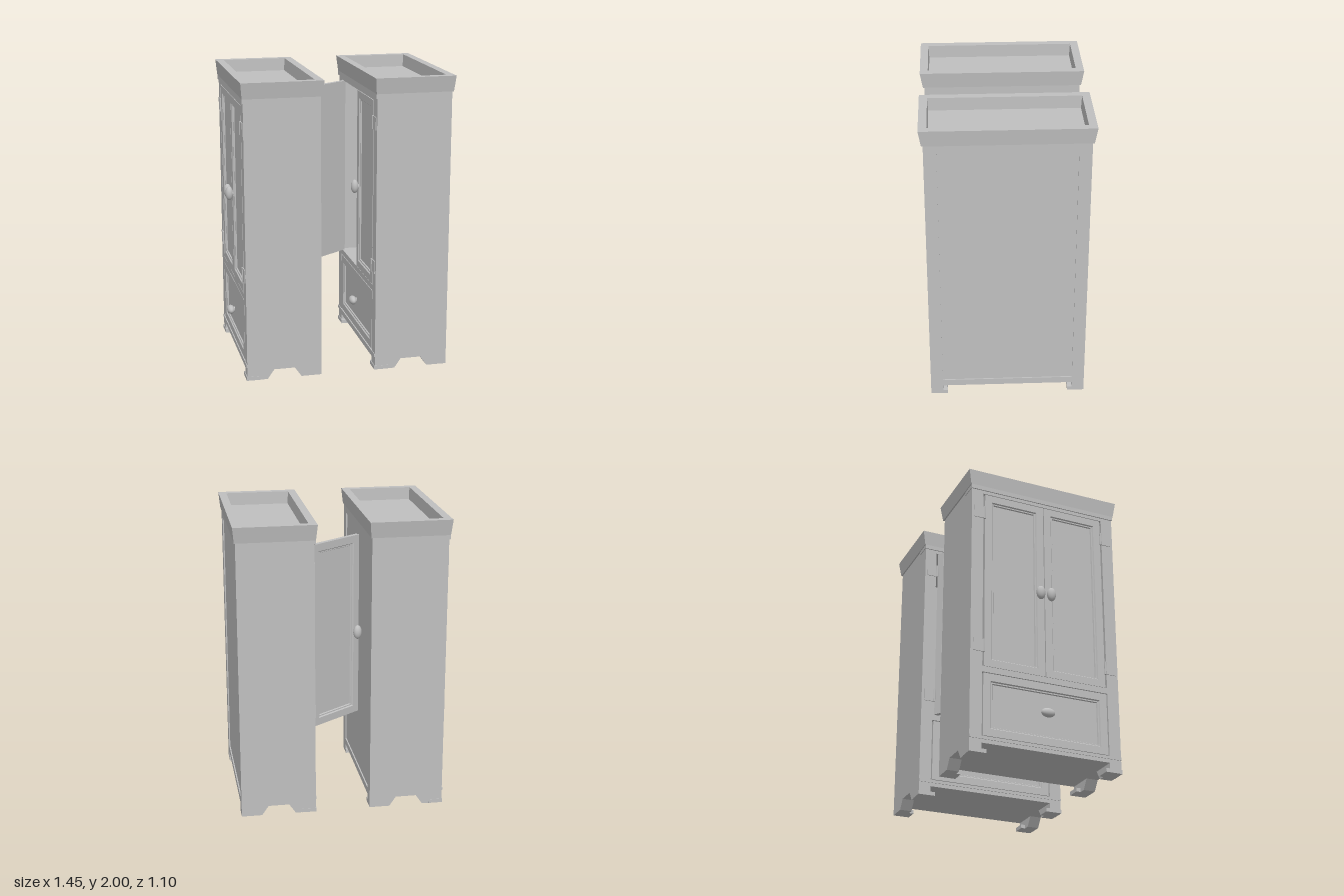
import * as THREE from 'three';

const FRONT = -0.2525, BACK = 0.2525, HALF = 0.5225;

const material = new THREE.MeshStandardMaterial({ color: 0xbfbfbf });
material.name = 'plain grey';

function add(parent, name, geometry, x = 0, y = 0, z = 0) {
  const mesh = new THREE.Mesh(geometry, material);
  mesh.name = name;
  mesh.position.set(x, y, z);
  parent.add(mesh);
  return mesh;
}

// Box given by its limits on each axis
function slab(parent, name, [x0, x1], [y0, y1], [z0, z1]) {
  return add(parent, name, new THREE.BoxGeometry(x1 - x0, y1 - y0, z1 - z0),
    (x0 + x1) / 2, (y0 + y1) / 2, (z0 + z1) / 2);
}

// Flat-faced loft through rectangles [half x, half z, y], capped at both ends
function rectLoft(rings) {
  const pts = rings.map(([a, b, y]) => [[a, y, b], [a, y, -b], [-a, y, -b], [-a, y, b]]);
  const out = [];
  const quad = (a, b, c, d) => out.push(...a, ...b, ...c, ...a, ...c, ...d);
  for (let i = 0; i < pts.length - 1; i++) {
    for (let k = 0; k < 4; k++) {
      const n = (k + 1) % 4;
      quad(pts[i][k], pts[i][n], pts[i + 1][n], pts[i + 1][k]);
    }
  }
  const last = pts[pts.length - 1];
  quad(...last);
  quad(...[...pts[0]].reverse());
  const g = new THREE.BufferGeometry();
  g.setAttribute('position', new THREE.Float32BufferAttribute(out, 3));
  g.computeVertexNormals();
  return g;
}

// Framed front with a bevelled recessed panel, facing -x, outer face at x = 0
function panelFront(width, height, margin) {
  const h = height / 2, w = width / 2, t = 0.03, m = margin;
  return rectLoft([
    [h, w, -t], [h, w, 0], [h - m, w - m, 0],
    [h - m - 0.006, w - m - 0.006, -0.008],
    [h - m - 0.014, w - m - 0.014, -0.008],
    [h - m - 0.018, w - m - 0.018, -0.016],
  ]).rotateZ(Math.PI / 2);
}

// Rounded knob on a short neck
function knob(parent, x, y, z, ry, rz) {
  const neck = new THREE.CylinderGeometry(0.014, 0.018, 0.025, 16).rotateZ(Math.PI / 2);
  add(parent, 'knobNeck', neck, x - 0.01, y, z);
  add(parent, 'knob', new THREE.SphereGeometry(1, 20, 14).scale(0.026, ry, rz), x - 0.025, y, z);
}

function makeDoor(side) {
  const door = new THREE.Group();
  door.name = side < 0 ? 'rightDoor' : 'leftDoor';
  door.position.set(FRONT, 0, side * 0.43);
  add(door, 'doorPanel', panelFront(0.425, 1.256, 0.05), 0, 1.21, -side * 0.2145);
  knob(door, 0, 1.17, -side * 0.392, 0.048, 0.03);
  return door;
}

// Side board with the feet cut into its lower edge
function sideBoard() {
  const s = new THREE.Shape();
  [[FRONT, 0], [-0.115, 0], [-0.07, 0.065], [0.07, 0.065], [0.115, 0],
    [BACK, 0], [BACK, 1.895], [FRONT, 1.895]].forEach(([x, y], i) => (i ? s.lineTo(x, y) : s.moveTo(x, y)));
  return new THREE.ExtrudeGeometry(s, { depth: 0.082, bevelEnabled: false });
}

function makeCabinet(openAngle) {
  const cab = new THREE.Group();
  const inner = 0.4405;

  // Carcass
  for (const s of [-1, 1]) {
    add(cab, 'sideBoard', sideBoard(), 0, 0, s < 0 ? -HALF : inner);
  }
  slab(cab, 'floor', [FRONT, BACK], [0.065, 0.11], [-inner, inner]);
  slab(cab, 'middleRail', [FRONT, 0.235], [0.54, 0.58], [-inner, inner]);
  slab(cab, 'ceiling', [FRONT, BACK], [1.842, 1.895], [-inner, inner]);
  slab(cab, 'backPanel', [0.23, 0.244], [0.1, 1.85], [-inner, inner]);

  // Crown with a sunken top
  add(cab, 'crown', rectLoft([
    [0.26, 0.532, 1.895], [0.27, 0.55, 2], [0.217, 0.497, 2], [0.213, 0.492, 1.915],
  ]));

  // Thin mouldings below the crown and above the feet
  slab(cab, 'crownMoulding', [-0.26, FRONT], [1.865, 1.895], [-0.527, 0.527]);
  slab(cab, 'baseMoulding', [-0.257, FRONT], [0.09, 0.11], [-HALF, HALF]);

  for (const s of [-1, 1]) {
    const span = (a, b) => [Math.min(s * a, s * b), Math.max(s * a, s * b)];
    slab(cab, 'mouldingReturn', [-0.26, -0.14], [1.87, 1.895], span(0.52, 0.527));
    slab(cab, 'footBlock', [-0.257, -0.16], [0, 0.026], span(0.41, 0.525));
    slab(cab, 'rearFootBlock', [0.16, BACK], [0, 0.026], span(0.41, 0.45));

    // Hinges
    for (const y of [0.72, 1.695]) {
      slab(cab, 'hingePlate', [-0.258, FRONT], [y - 0.043, y + 0.043], span(0.43, 0.505));
      add(cab, 'hingePin', new THREE.CylinderGeometry(0.008, 0.008, 0.09, 10), -0.256, y, s * 0.432);
    }

    // Doors
    const door = makeDoor(s);
    if (s < 0) door.rotation.y = openAngle;
    cab.add(door);
  }

  // Drawer
  add(cab, 'drawerFront', panelFront(0.865, 0.42, 0.05), FRONT, 0.325, 0);
  knob(cab, FRONT, 0.325, 0, 0.03, 0.047);
  return cab;
}

export function createModel() {
  const model = new THREE.Group();
  model.name = 'cabinetPair';
  const closed = makeCabinet(0);
  closed.name = 'closedCabinet';
  closed.position.x = -0.4225;
  const open = makeCabinet(-0.96);
  open.name = 'openCabinet';
  open.position.x = 0.4545;
  model.add(closed, open);
  return model;
}
